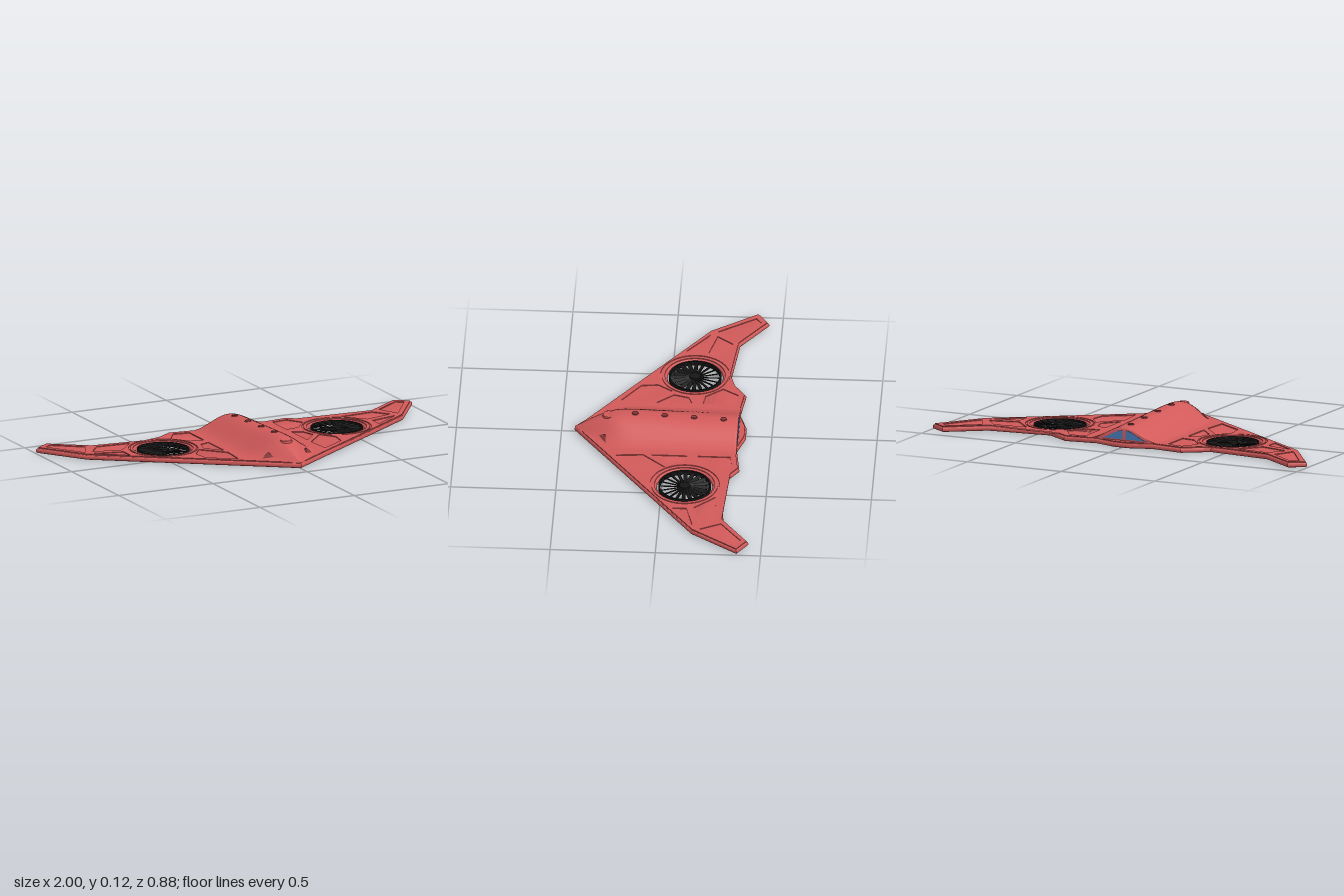
import * as THREE from 'three';
import { toCreasedNormals } from 'three/addons/utils/BufferGeometryUtils.js';
import { ConvexGeometry } from 'three/addons/geometries/ConvexGeometry.js';

const mat = (color) => new THREE.MeshStandardMaterial({ color, side: THREE.DoubleSide });
const red = mat(0xd25a5a), darkRed = mat(0x8a3a3a), black = mat(0x161616), blue = mat(0x4a7fc0);
const FAN = { x: 0.46, z: -0.11 };

function part(parent, name, geometry, material, x = 0, y = 0, z = 0) {
  const mesh = new THREE.Mesh(geometry, material);
  mesh.name = name;
  mesh.position.set(x, y, z);
  parent.add(mesh);
  return mesh;
}

// Plan points are [x, z]; a shape lies in x, -z and is laid flat after extrusion.
const plan = (pts, s = 1) => pts.map(([x, z]) => new THREE.Vector2(x * s, -z));
const circle = (x, z, r) => new THREE.Path().absarc(x, -z, r, 0, Math.PI * 2);

function flat(shape, holes, options) {
  shape.holes.push(...holes);
  const g = new THREE.ExtrudeGeometry(shape, { curveSegments: 48, bevelEnabled: false, ...options });
  return toCreasedNormals(g.rotateX(-Math.PI / 2), 0.6);
}

// Moves every edge of a closed counter-clockwise outline inwards by d.
function inset(pts, d) {
  return pts.map((p, i) => {
    const a = p.clone().sub(pts[(i + pts.length - 1) % pts.length]).normalize();
    const b = pts[(i + 1) % pts.length].clone().sub(p).normalize();
    const n = new THREE.Vector2(-a.y - b.y, a.x + b.x).normalize();
    return p.clone().addScaledVector(n, d / (n.x * -a.y + n.y * a.x));
  });
}

const halfOutline = [[0.84, -0.16], [0.998, -0.385], [0.92, -0.438], [0.74, -0.31],
  [0.43, -0.28], [0.31, -0.362], [0.15, -0.342], [0.04, -0.378]];
const panels = [
  [[0.83, -0.2], [0.95, -0.375], [0.915, -0.4], [0.78, -0.3]],
  [[0.66, -0.06], [0.8, -0.165], [0.66, -0.13]],
  [[0.65, -0.165], [0.79, -0.2], [0.73, -0.275], [0.56, -0.262]],
  [[0.22, -0.16], [0.285, -0.17], [0.35, -0.25], [0.3, -0.325], [0.22, -0.315]],
  [[0.22, -0.11], [0.27, -0.09], [0.29, -0.02], [0.22, 0.06]],
  [[0.22, 0.1], [0.32, -0.01], [0.37, 0.06], [0.36, 0.14], [0.23, 0.23]],
];

// Flying wing: rounded slab below, skin with pocketed panels above
function addWing(root) {
  let outline = plan([[0, 0.438], ...halfOutline,
    ...halfOutline.slice().reverse().map(([x, z]) => [-x, z])]);
  if (THREE.ShapeUtils.isClockWise(outline)) outline = outline.reverse();
  const sides = [1, -1];
  const slab = flat(new THREE.Shape(outline), sides.map((s) => circle(s * FAN.x, FAN.z, 0.132)),
    { depth: 0.002, bevelEnabled: true, bevelThickness: 0.011, bevelSize: 0.011, bevelOffset: -0.011, bevelSegments: 5 });
  part(root, 'wingSlab', slab, red, 0, 0.011, 0);

  const holes = sides.flatMap((s) => [circle(s * FAN.x, FAN.z, 0.165),
    ...panels.map((p) => new THREE.Path(plan(p, s)))]);
  part(root, 'wingSkin', flat(new THREE.Shape(inset(outline, 0.008)), holes, { depth: 0.0045 }), red, 0, 0.0235, 0);

  // Belly hatch outline
  const hatch = new THREE.Shape(plan([[-0.11, 0.12], [0.11, 0.12], [0.11, -0.12], [-0.11, -0.12]]));
  const inner = new THREE.Path(plan([[-0.106, 0.116], [0.106, 0.116], [0.106, -0.116], [-0.106, -0.116]]));
  part(root, 'bellyHatchSeam', flat(hatch, [inner], { depth: 0.002 }), darkRed, 0, -0.0005, 0);
}

// Fuselage: bell-shaped cross-sections along z as [z, half width, height]
const stations = [[0.435, 0.004, 0.003], [0.4, 0.045, 0.022], [0.36, 0.088, 0.043], [0.32, 0.125, 0.061],
  [0.28, 0.155, 0.077], [0.255, 0.17, 0.084], [0.23, 0.183, 0.088], [0.2, 0.193, 0.0885], [0.15, 0.2, 0.087],
  [-0.1, 0.2, 0.076], [-0.325, 0.2, 0.065], [-0.334, 0.199, 0.063], [-0.339, 0.198, 0.059],
  [-0.341, 0.196, 0.053], [-0.341, 0.196, 0]];
const bell = (t) => 0.5 * (1 + Math.cos(Math.PI * t));

function fuselageGeometry() {
  const n = 40, pos = [], index = [];
  stations.forEach(([z, w, h], j) => {
    for (let i = 0; i <= n; i++) {
      const t = (2 * i) / n - 1;
      pos.push(t * w, 0.0265 + h * bell(t), z);
      if (j && i) {
        const d = j * (n + 1) + i, c = d - 1, b = d - n - 1, a = b - 1;
        index.push(a, b, c, b, d, c);
      }
    }
  });
  const g = new THREE.BufferGeometry();
  g.setAttribute('position', new THREE.Float32BufferAttribute(pos, 3));
  g.setIndex(index);
  return toCreasedNormals(g, 0.8);
}

function addFuselage(root) {
  part(root, 'fuselage', fuselageGeometry(), red);
  // Sensor on the brow and fasteners along the spine
  part(root, 'noseSensor', new THREE.CylinderGeometry(0.028, 0.03, 0.012, 24), red, 0, 0.098, 0.275);
  for (const [z, y] of [[0.15, 0.1145], [0.01, 0.1078], [-0.13, 0.1015], [-0.27, 0.095]]) {
    part(root, 'spineFastener', new THREE.CylinderGeometry(0.014, 0.016, 0.006, 20), darkRed, 0, y, z);
  }
  for (const s of [1, -1]) {
    // Nose intake wedge
    const corners = [[0.075, 0.026, 0.345], [0.135, 0.026, 0.285], [0.1, 0.058, 0.285], [0.06, 0.026, 0.285]];
    part(root, 'noseIntake', new ConvexGeometry(corners.map(([x, y, z]) => new THREE.Vector3(x * s, y, z))), darkRed);
    // Rear window pane
    const pane = [new THREE.Vector2(0.008 * s, 0.034)];
    for (let i = 0; i <= 10; i++) {
      const x = 0.008 + 0.0115 * i;
      pane.push(new THREE.Vector2(x * s, 0.034 + 0.045 * bell(x / 0.13)));
    }
    const g = new THREE.ExtrudeGeometry(new THREE.Shape(pane), { depth: 0.004, bevelEnabled: false });
    part(root, 'rearWindow', g, blue, 0, 0, -0.3435);
  }
}

// Ducted lift fan with a collar set in the wing
function addFan(root, s) {
  const fan = new THREE.Group();
  fan.name = s > 0 ? 'leftFan' : 'rightFan';
  fan.position.set(s * FAN.x, 0, FAN.z);
  root.add(fan);
  const ring = (ro, ri, depth) => flat(new THREE.Shape().absarc(0, 0, ro, 0, Math.PI * 2), [circle(0, 0, ri)], { depth });
  part(fan, 'fanCollar', ring(0.158, 0.143, 0.0045), red, 0, 0.0235, 0);
  part(fan, 'fanRim', ring(0.125, 0.118, 0.022), black, 0, 0.003, 0);
  part(fan, 'fanHub', new THREE.CylinderGeometry(0.026, 0.03, 0.022, 32), black, 0, 0.014, 0);
  const blades = 20;
  for (let i = 0; i < blades; i++) {
    const g = new THREE.BoxGeometry(0.1, 0.003, 0.019).rotateX(s * 0.45).translate(0.07, 0, 0);
    part(fan, 'fanBlade', g, black, 0, 0.014, 0).rotation.y = (i / blades) * Math.PI * 2;
  }
}

export function createModel() {
  const root = new THREE.Group();
  root.name = 'flyingWing';
  addWing(root);
  addFuselage(root);
  addFan(root, 1);
  addFan(root, -1);
  return root;
}
